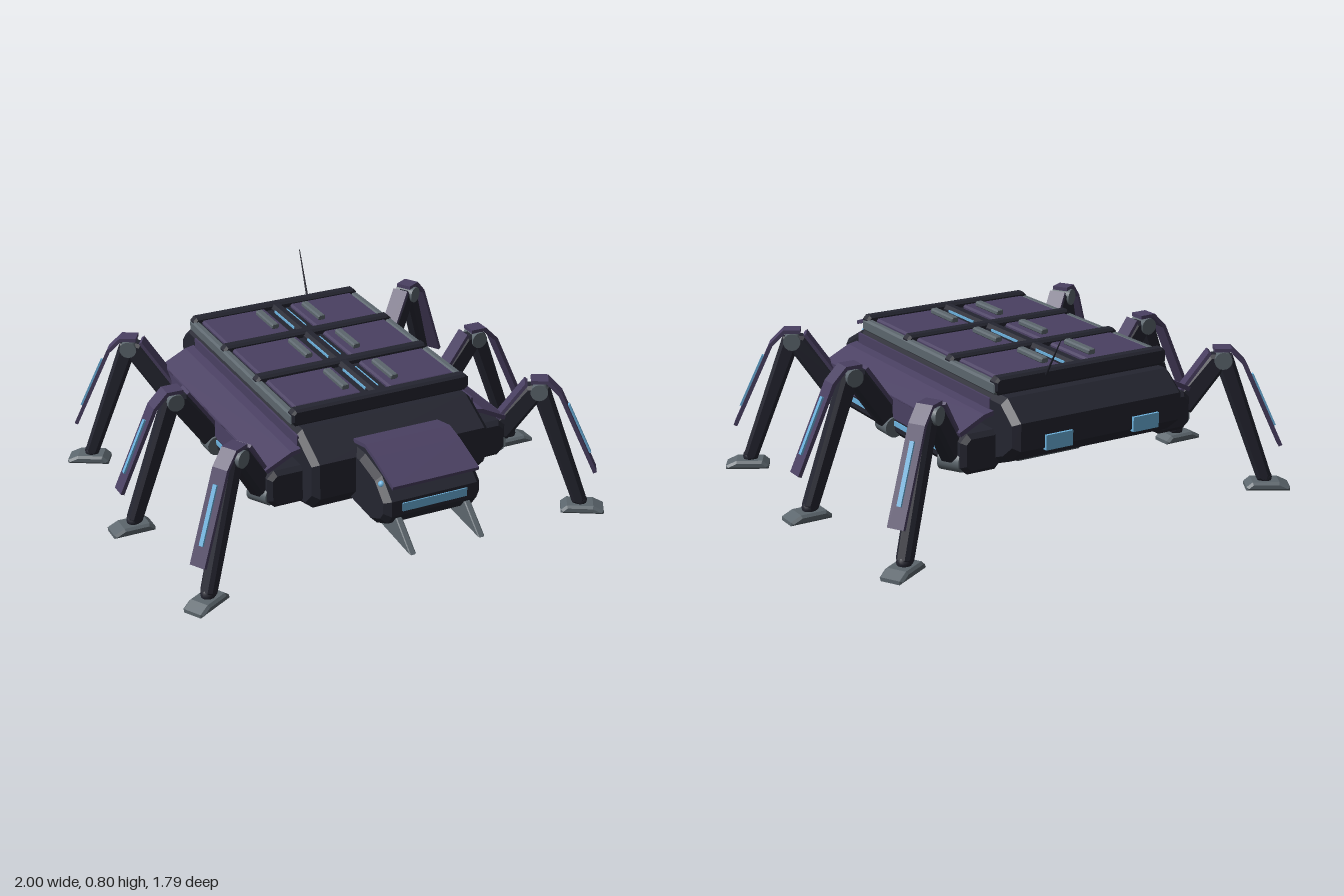
import * as THREE from 'three';

const mat = (name, color) => {
  const m = new THREE.MeshStandardMaterial({ color });
  m.name = name;
  return m;
};

export function createModel() {
  const dark = mat('dark hull', 0x242530);
  const purple = mat('purple armour', 0x4a4062);
  const grey = mat('grey metal', 0x5c666d);
  const blue = mat('blue light', 0x6cb2de);
  const model = new THREE.Group();

  const add = (parent, name, geo, material, x = 0, y = 0, z = 0) => {
    const m = new THREE.Mesh(geo, material);
    m.name = name;
    m.position.set(x, y, z);
    parent.add(m);
    return m;
  };

  // Outline in x/y, extruded along z and centred, with chamfered edges inside the outline
  const prism = (pts, depth, bevel = 0) => {
    const shape = new THREE.Shape(pts.map(p => new THREE.Vector2(p[0], p[1])));
    return new THREE.ExtrudeGeometry(shape, {
      depth: depth - 2 * bevel, bevelEnabled: bevel > 0, bevelSize: bevel,
      bevelThickness: bevel, bevelOffset: -bevel, bevelSegments: 1,
    }).translate(0, 0, -depth / 2 + bevel);
  };
  // Same, but the outline is in z/y and the depth runs along x
  const sidePrism = (pts, width, bevel) => prism(pts, width, bevel).rotateY(-Math.PI / 2);
  // Box with chamfered edges
  const block = (w, h, d, c) => prism([
    [-w / 2 + c, -h / 2], [w / 2 - c, -h / 2], [w / 2, -h / 2 + c], [w / 2, h / 2 - c],
    [w / 2 - c, h / 2], [-w / 2 + c, h / 2], [-w / 2, h / 2 - c], [-w / 2, -h / 2 + c],
  ], d, c * 0.6);
  const box = (w, h, d) => new THREE.BoxGeometry(w, h, d);
  // Tapered straight member between two points
  const limb = (a, b, ta, tb) => {
    const l = Math.hypot(b[0] - a[0], b[1] - a[1]);
    const u = [(b[0] - a[0]) / l, (b[1] - a[1]) / l];
    const at = (p, s, k) => [p[0] + u[0] * s - u[1] * k, p[1] + u[1] * s + u[0] * k];
    return [at(a, 0, ta / 2), at(a, -0.02, 0), at(a, 0, -ta / 2),
      at(b, 0, -tb / 2), at(b, 0.02, -tb / 4), at(b, 0.02, tb / 4), at(b, 0, tb / 2)];
  };
  // Bent plate: a polyline thickened to one side
  const plate = (pts, t) => {
    const back = pts.map((p, i) => {
      const a = pts[Math.max(i - 1, 0)], b = pts[Math.min(i + 1, pts.length - 1)];
      const l = Math.hypot(b[0] - a[0], b[1] - a[1]);
      return [p[0] + (b[1] - a[1]) / l * t, p[1] - (b[0] - a[0]) / l * t];
    });
    return [...pts, ...back.reverse()];
  };

  // Hull
  add(model, 'hull', sidePrism([
    [0.37, 0.575], [0.53, 0.49], [0.53, 0.34], [0.46, 0.27], [0.33, 0.24], [-0.48, 0.24],
    [-0.6, 0.265], [-0.77, 0.33], [-0.845, 0.39], [-0.845, 0.5], [-0.75, 0.575],
  ], 0.78, 0.025), dark);
  add(model, 'bellyTray', block(0.33, 0.05, 0.725, 0.018), grey, 0, 0.225, -0.128);
  for (const s of [-1, 1])
    add(model, 'rearLight', box(0.12, 0.06, 0.02), blue, s * 0.2, 0.41, -0.846);

  // Head with hood, visor, eyes and mandibles
  const head = new THREE.Group();
  head.name = 'head';
  model.add(head);
  add(head, 'skull', sidePrism([
    [0.45, 0.51], [0.56, 0.515], [0.7, 0.485], [0.785, 0.41], [0.785, 0.345],
    [0.75, 0.3], [0.66, 0.26], [0.45, 0.27],
  ], 0.42, 0.025), dark);
  add(head, 'hood', sidePrism(plate([[0.46, 0.535], [0.56, 0.555], [0.64, 0.535], [0.795, 0.48]], 0.016), 0.375), purple);
  add(head, 'visor', box(0.28, 0.035, 0.012), blue, 0, 0.38, 0.784);
  for (const s of [-1, 1]) {
    add(head, 'eye', new THREE.SphereGeometry(0.014, 10, 8), blue, s * 0.192, 0.455, 0.71);
    add(head, 'mandible', sidePrism([[0.63, 0.25], [0.72, 0.34], [0.78, 0.33], [0.895, 0.23]], 0.027, 0.004), grey, s * 0.15);
  }

  // Cargo deck: slab, rails, crossbars, spine and hatches
  const deck = new THREE.Group();
  deck.name = 'deck';
  model.add(deck);
  add(deck, 'deckSlab', box(0.74, 0.055, 1.02), dark, 0, 0.592, -0.185);
  add(deck, 'spine', block(0.055, 0.06, 1.03, 0.015), dark, 0, 0.613, -0.185);
  for (const z of [-0.69, -0.357, -0.022, 0.322])
    add(deck, 'crossbar', block(0.79, 0.07, 0.05, 0.016), dark, 0, 0.61, z);
  for (const s of [-1, 1]) {
    add(deck, 'rail', block(0.034, 0.05, 1.045, 0.008), grey, s * 0.381, 0.603, -0.185);
    for (const z of [-0.525, -0.19, 0.15]) {
      add(deck, 'hatch', block(0.3, 0.03, 0.272, 0.008), purple, s * 0.21, 0.62, z);
      add(deck, 'hatchHandle', block(0.034, 0.024, 0.175, 0.006), grey, s * 0.11, 0.645, z);
      add(deck, 'spineLight', box(0.005, 0.01, 0.2), blue, s * 0.028, 0.627, z);
    }
  }

  // Antenna
  const base = new THREE.Vector3(0.17, 0.62, -0.71), tip = new THREE.Vector3(0.2, 0.8, -0.855);
  const dir = tip.clone().sub(base);
  const antenna = add(model, 'antenna', new THREE.CylinderGeometry(0.002, 0.005, dir.length(), 6), dark);
  antenna.position.copy(base).addScaledVector(dir, 0.5);
  antenna.quaternion.setFromUnitVectors(new THREE.Vector3(0, 1, 0), dir.normalize());

  // Side pods with sloped armour; each is turned half round for the other side
  for (const turn of [0, Math.PI]) {
    const pod = new THREE.Group();
    pod.name = turn ? 'rightPod' : 'leftPod';
    pod.position.z = -0.142;
    pod.rotation.y = turn;
    model.add(pod);
    add(pod, 'podBody', block(0.18, 0.16, 1.13, 0.03), dark, 0.445, 0.36);
    add(pod, 'podArmour', prism(plate([[0.38, 0.515], [0.43, 0.505], [0.54, 0.45]], 0.018), 1.1), purple);
    add(pod, 'podSidePlate', box(0.012, 0.09, 1.04), purple, 0.533, 0.407);
    add(pod, 'hullSidePlate', box(0.008, 0.05, 1.05), purple, 0.39, 0.53);
    add(pod, 'podLight', box(0.008, 0.02, 0.86), blue, 0.536, 0.343);
  }

  // One leg, reaching out along +x from its hip
  const makeLeg = name => {
    const leg = new THREE.Group();
    leg.name = name;
    const pin = (n, r, w, x, y) =>
      add(leg, n, new THREE.CylinderGeometry(r, r, w, 14).rotateX(Math.PI / 2), grey, x, y);
    pin('hipJoint', 0.042, 0.092, 0.035, 0.325);
    add(leg, 'thigh', prism(limb([0.045, 0.36], [0.185, 0.55], 0.095, 0.085), 0.07, 0.014), dark);
    add(leg, 'thighPlate', prism(plate([[0.015, 0.405], [0.145, 0.59]], 0.014), 0.074), purple);
    pin('kneeJoint', 0.036, 0.088, 0.205, 0.555);
    add(leg, 'shin', prism(limb([0.21, 0.56], [0.395, 0.05], 0.075, 0.06), 0.06, 0.014), dark);
    add(leg, 'shinArmour', prism(plate([[0.17, 0.605], [0.24, 0.605], [0.3, 0.545], [0.46, 0.195]], 0.016), 0.07), purple);
    add(leg, 'shinLight', prism(plate([[0.33, 0.49], [0.43, 0.271]], 0.01), 0.018), blue, 0.004, 0.002);
    add(leg, 'ankleJoint', new THREE.SphereGeometry(0.03, 12, 8), dark, 0.4, 0.045);
    add(leg, 'foot', prism([[0.32, 0], [0.5, 0], [0.5, 0.015], [0.455, 0.036], [0.345, 0.036], [0.32, 0.015]], 0.1, 0.01), grey);
    return leg;
  };
  const rows = [['front', 0.33, Math.PI / 6], ['middle', -0.14, 0], ['rear', -0.61, -Math.PI / 6]];
  for (const [row, z, angle] of rows)
    for (const s of [1, -1]) {
      const leg = makeLeg(row + (s > 0 ? 'LeftLeg' : 'RightLeg'));
      leg.position.set(s * 0.5, 0, z);
      leg.rotation.y = s > 0 ? -angle : Math.PI + angle;
      model.add(leg);
    }

  return model;
}
